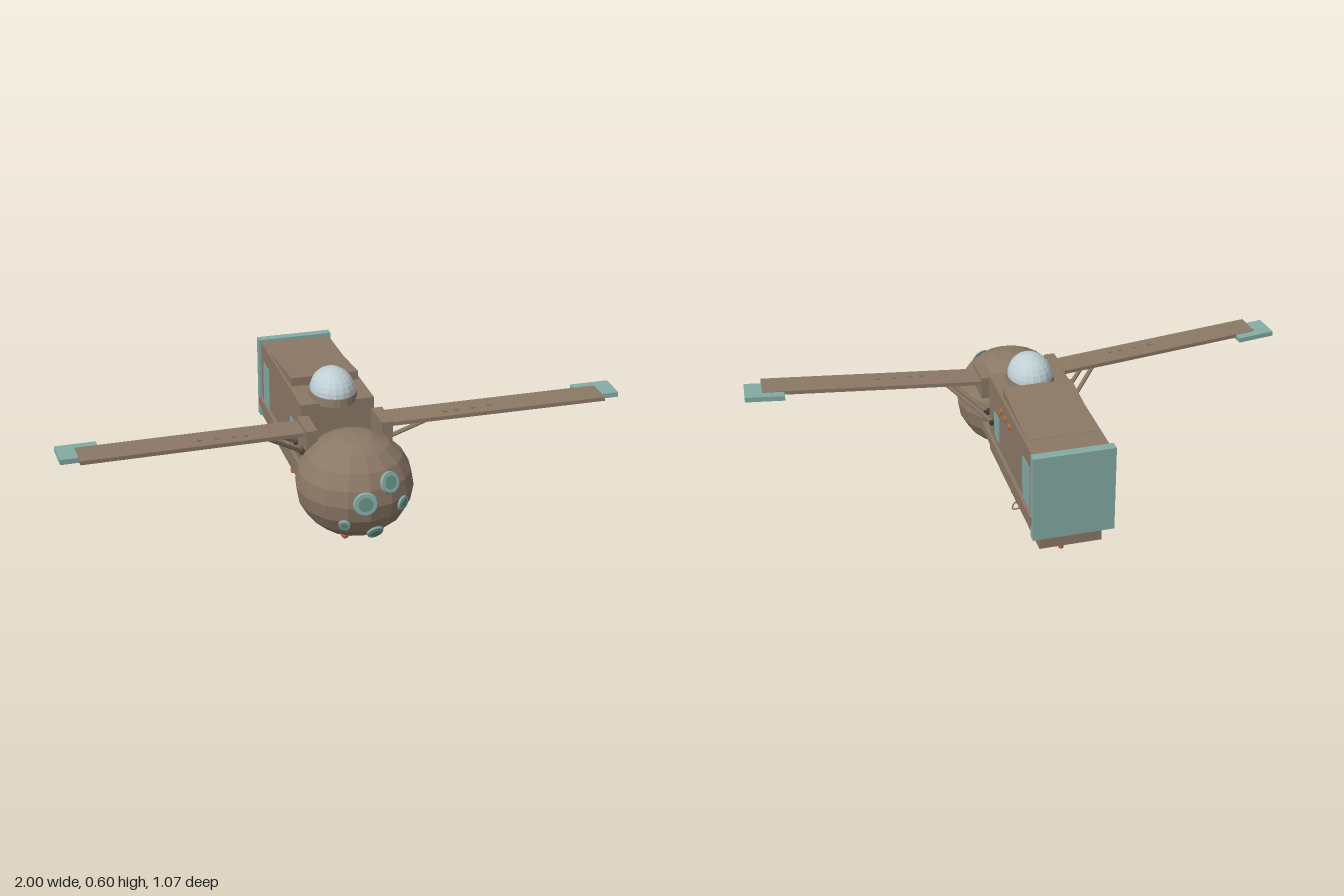
import * as THREE from 'three';

const mat = (name, color, extra = {}) => {
  const m = new THREE.MeshStandardMaterial({ color, flatShading: true, ...extra });
  m.name = name;
  return m;
};

export function createModel() {
  const hull = mat('hull brown', 0x8b7866);
  const teal = mat('teal', 0x84aaa4);
  const darkTeal = mat('dark teal', 0x668d85);
  const glass = mat('pale glass', 0xbfcfd4);
  const dark = mat('dark metal', 0x45413a);
  const orange = mat('orange', 0xcb6a32);

  const model = new THREE.Group();
  model.name = 'flyingShip';

  const add = (name, geo, m, x = 0, y = 0, z = 0) => {
    const mesh = new THREE.Mesh(geo, m);
    mesh.name = name;
    mesh.position.set(x, y, z);
    model.add(mesh);
    return mesh;
  };
  // Box given by its limits on each axis
  const box = (name, m, x0, x1, y0, y1, z0, z1) =>
    add(name, new THREE.BoxGeometry(x1 - x0, y1 - y0, z1 - z0), m, (x0 + x1) / 2, (y0 + y1) / 2, (z0 + z1) / 2);
  // Straight bar between two points
  const bar = (name, m, a, b, r, sides = 6) => {
    const p = new THREE.Vector3(...a), q = new THREE.Vector3(...b);
    const mesh = add(name, new THREE.CylinderGeometry(r, r, p.distanceTo(q), sides), m);
    mesh.position.copy(p).add(q).multiplyScalar(0.5);
    mesh.quaternion.setFromUnitVectors(new THREE.Vector3(0, 1, 0), q.sub(p).normalize());
    return mesh;
  };
  // Flat plate from an x/z outline, rising towards the wing tip
  const plate = (name, m, s, outline, y, thick) => {
    const shape = new THREE.Shape(outline.map(([x, z]) => new THREE.Vector2(s * x, -z)));
    const geo = new THREE.ExtrudeGeometry(shape, { depth: thick, bevelEnabled: false });
    geo.rotateX(-Math.PI / 2);
    const p = geo.attributes.position;
    for (let i = 0; i < p.count; i++) p.setY(i, p.getY(i) + y + (Math.abs(p.getX(i)) - 0.14) * 0.0405);
    geo.computeVertexNormals();
    return add(name, geo, m);
  };

  // Round faceted nose
  const centre = new THREE.Vector3(0, 0.285, 0.308);
  const nose = add('nose', new THREE.SphereGeometry(0.206, 16, 10), hull, centre.x, centre.y, centre.z);
  nose.scale.y = 0.9;
  add('chinLamp', new THREE.SphereGeometry(0.015, 8, 6), orange, -0.05, 0.115, 0.37);

  // Portholes standing just off the nose: x, y, z, radius
  const portholes = [
    [-0.025, 0.31, 0.527, 0.043], [0.07, 0.363, 0.494, 0.039], [0.12, 0.273, 0.485, 0.027],
    [-0.09, 0.225, 0.498, 0.021], [0.02, 0.18, 0.494, 0.031],
  ];
  for (const [x, y, z, r] of portholes) {
    const porthole = new THREE.Group();
    porthole.name = 'porthole';
    const rim = new THREE.Mesh(new THREE.CylinderGeometry(r * 0.9, r, 0.007, 16), teal);
    rim.name = 'portholeRim';
    const pane = new THREE.Mesh(new THREE.CylinderGeometry(r * 0.58, r * 0.58, 0.003, 16), darkTeal);
    pane.name = 'portholePane';
    pane.position.y = 0.004;
    porthole.add(rim, pane);
    porthole.position.set(x, y, z);
    const out = porthole.position.clone().sub(centre).normalize();
    porthole.quaternion.setFromUnitVectors(new THREE.Vector3(0, 1, 0), out);
    model.add(porthole);
  }

  // Body, keel and rear wall
  box('body', hull, -0.134, 0.134, 0.187, 0.496, -0.5, 0.1);
  box('keel', hull, -0.11, 0.11, 0.127, 0.19, -0.494, 0.083);
  box('rearWall', teal, -0.143, 0.143, 0.19, 0.507, -0.531, -0.497);

  // Sloping roof behind the cockpit
  const wedge = new THREE.Shape([
    new THREE.Vector2(0.066, 0.49), new THREE.Vector2(0.39, 0.49),
    new THREE.Vector2(0.39, 0.497), new THREE.Vector2(0.066, 0.528),
  ]);
  const roof = new THREE.ExtrudeGeometry(wedge, { depth: 0.25, bevelEnabled: false });
  roof.rotateY(Math.PI / 2);
  add('roofRamp', roof, hull, -0.125, 0, 0);

  // Cockpit collar and dome
  const collar = add('cockpitCollar', new THREE.CylinderGeometry(0.099, 0.103, 0.028, 20), hull, 0, 0.501, 0.034);
  collar.scale.x = 0.84;
  const dome = add('cockpitDome',
    new THREE.SphereGeometry(1, 18, 7, 0, Math.PI * 2, 0, Math.PI / 2), glass, 0, 0.514, 0.031);
  dome.scale.set(0.08, 0.082, 0.098);

  for (const s of [1, -1]) {
    const side = (name, m, x0, x1, ...rest) =>
      box(name, m, Math.min(s * x0, s * x1), Math.max(s * x0, s * x1), ...rest);

    // Side rail and windows
    side('sideRail', hull, 0.12, 0.147, 0.238, 0.27, -0.51, 0.162);
    side('frontWindow', teal, 0.131, 0.137, 0.293, 0.39, -0.049, 0.018);
    side('rearWindow', teal, 0.131, 0.137, 0.27, 0.43, -0.457, -0.371);

    // Wing with root block, tip plate and studs
    side('wingRoot', hull, 0.115, 0.155, 0.387, 0.468, 0.128, 0.255);
    plate('wing', hull, s, [[0.13, 0.128], [0.935, 0.2], [0.93, 0.306], [0.13, 0.234]], 0.441, 0.014);
    plate('wingTip', teal, s, [[0.86, 0.16], [1, 0.173], [0.993, 0.28], [0.853, 0.267]], 0.435, 0.018);
    for (const x of [0.36, 0.4, 0.46, 0.52])
      side('wingStud', hull, x - 0.007, x + 0.007, 0.445, 0.46 + (x - 0.14) * 0.0405,
        0.205 + x * 0.035 - 0.008, 0.205 + x * 0.035 + 0.008);

    // Wing struts with feet
    for (const [zt, zb] of [[0.23, 0.125], [0.165, 0.045]]) {
      bar('wingStrut', hull, [s * 0.28, 0.445, zt], [s * 0.135, 0.33, zb], 0.008);
      side('strutFoot', dark, 0.125, 0.148, 0.322, 0.34, zb - 0.009, zb + 0.009);
    }

    // Hanging socket with a loose link below
    add('linkSocket', new THREE.CylinderGeometry(0.022, 0.018, 0.05, 8), dark, s * 0.075, 0.103, -0.046);
    add('linkTip', new THREE.CylinderGeometry(0.01, 0.01, 0.018, 8), orange, s * 0.075, 0.071, -0.046);
    const link = new THREE.CatmullRomCurve3([[-0.013, 0.004], [0.013, 0.004], [0.01, 0.022], [0, 0.034], [-0.01, 0.022]]
      .map(([x, y]) => new THREE.Vector3(x, y, 0)), true, 'catmullrom', 0.2);
    add('link', new THREE.TubeGeometry(link, 20, 0.003, 5, true), hull, s * 0.075, 0, -0.046);
  }

  // Row of signal lamps on the left side only
  for (const z of [-0.074, -0.131, -0.189]) {
    const lamp = add('signalLamp', new THREE.CylinderGeometry(0.011, 0.011, 0.008, 12), orange, 0.135, 0.44, z);
    lamp.rotation.z = Math.PI / 2;
  }

  // Thin probes below the keel: x, top z, bottom z
  const probes = [
    [-0.037, -0.14, -0.146], [0.037, -0.14, -0.146], [0, -0.19, -0.19],
    [-0.07, -0.278, -0.274], [0.07, -0.278, -0.274], [0, -0.39, -0.38],
  ];
  for (const [x, zt, zb] of probes) {
    bar('probe', dark, [x, 0.13, zt], [x, 0.05, zb], 0.007);
    add('probeTip', new THREE.CylinderGeometry(0.011, 0.009, 0.014, 8), orange, x, 0.046, zb);
  }

  return model;
}
